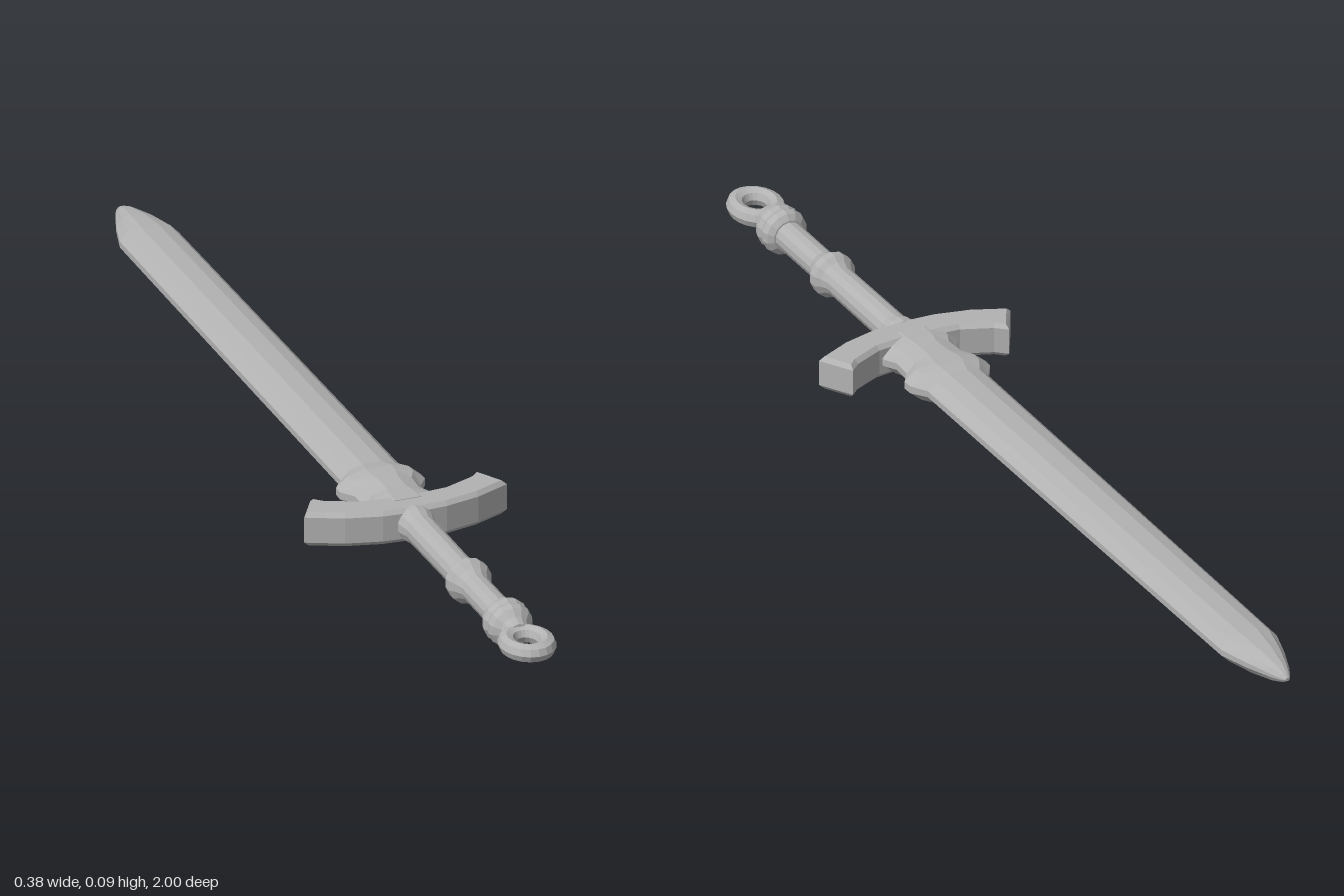
import * as THREE from 'three';

const steel = new THREE.MeshStandardMaterial({ color: 0xb2b2b2 });
steel.name = 'steelGrey';
steel.flatShading = true;
const MID = 0.045; // height of the sword's long axis

function addMesh(group, name, geometry) {
  const mesh = new THREE.Mesh(geometry, steel);
  mesh.name = name;
  group.add(mesh);
  return mesh;
}

// Skin a closed outline along z; sections are [z, half width, half thickness], from +z to -z
function loft(outline, sections) {
  const n = outline.length, pos = [], idx = [];
  for (const [z, w, t] of sections)
    for (const [x, y] of outline) pos.push(x * w, MID + y * t, z);
  for (let i = 0; i < sections.length - 1; i++)
    for (let j = 0; j < n; j++) {
      const a = i * n + j, b = i * n + (j + 1) % n;
      idx.push(a, a + n, b + n, a, b + n, b);
    }
  const last = (sections.length - 1) * n;
  for (let j = 1; j < n - 1; j++) {
    idx.push(0, j, j + 1);
    idx.push(last, last + j + 1, last + j);
  }
  const g = new THREE.BufferGeometry();
  g.setAttribute('position', new THREE.Float32BufferAttribute(pos, 3));
  g.setIndex(idx);
  g.computeVertexNormals();
  return g;
}

// Turned part along z; profile is [radius, z]
function turned(profile, sides = 14) {
  const g = new THREE.LatheGeometry(profile.map(([r, z]) => new THREE.Vector2(r, z)), sides);
  g.rotateX(Math.PI / 2);
  g.translate(0, MID, 0);
  return g;
}

export function createModel() {
  const sword = new THREE.Group();
  sword.name = 'sword';

  // Blade: broad flat middle with bevelled cutting edges
  const lens = [[1, -0.2], [1, 0.2], [0.72, 0.75], [0.3, 1], [-0.3, 1], [-0.72, 0.75],
    [-1, 0.2], [-1, -0.2], [-0.72, -0.75], [-0.3, -1], [0.3, -1], [0.72, -0.75]];
  addMesh(sword, 'blade', loft(lens, [
    [0.36, 0.058, 0.029], [0.2, 0.06, 0.029], [-0.3, 0.058, 0.029], [-0.86, 0.055, 0.028],
    [-0.92, 0.038, 0.024], [-0.97, 0.02, 0.016], [-0.99, 0.011, 0.009], [-1, 0.004, 0.003],
  ]));

  // Flared block where the blade meets the guard
  addMesh(sword, 'bladeCollar', loft(lens, [
    [0.37, 0.078, 0.033], [0.335, 0.072, 0.033], [0.315, 0.06, 0.032], [0.275, 0.062, 0.033],
    [0.25, 0.08, 0.034], [0.23, 0.079, 0.034], [0.205, 0.062, 0.03], [0.19, 0.05, 0.027],
  ]));

  // Curved crossguard, drawn as a mirrored outline with y = -z
  const half = [[0, 0.41], [0.06, 0.406], [0.125, 0.39], [0.19, 0.36], [0.155, 0.3],
    [0.135, 0.318], [0.08, 0.342], [0, 0.35]];
  const inner = half.slice(1, -1).reverse().map(([x, z]) => [-x, z]);
  const guardShape = new THREE.Shape([...half, ...inner].map(([x, z]) => new THREE.Vector2(x, -z)));
  const guard = new THREE.ExtrudeGeometry(guardShape, {
    depth: 0.048, bevelEnabled: true, bevelThickness: 0.008, bevelSize: 0.007,
    bevelOffset: -0.007, bevelSegments: 1,
  });
  guard.rotateX(-Math.PI / 2);
  guard.translate(0, 0.021, 0);
  addMesh(sword, 'crossguard', guard);

  // Grip with a raised band half way
  addMesh(sword, 'grip', turned([
    [0, 0.38], [0.034, 0.4], [0.034, 0.415], [0.029, 0.435], [0.028, 0.63], [0.033, 0.642],
    [0.041, 0.652], [0.041, 0.668], [0.033, 0.68], [0.027, 0.695], [0.027, 0.83], [0, 0.83],
  ]));

  // Pommel: double collar tapering into the ring
  addMesh(sword, 'pommel', turned([
    [0, 0.815], [0.03, 0.818], [0.04, 0.826], [0.043, 0.838], [0.039, 0.848], [0.042, 0.858],
    [0.038, 0.87], [0.027, 0.882], [0.02, 0.9], [0, 0.903],
  ]));

  // Oval hanging ring lying flat
  const ring = new THREE.TorusGeometry(0.035, 0.0155, 8, 20);
  ring.rotateX(Math.PI / 2);
  ring.scale(1, 1.08, 1.22);
  ring.translate(0, MID, 0.938);
  addMesh(sword, 'pommelRing', ring);

  return sword;
}
